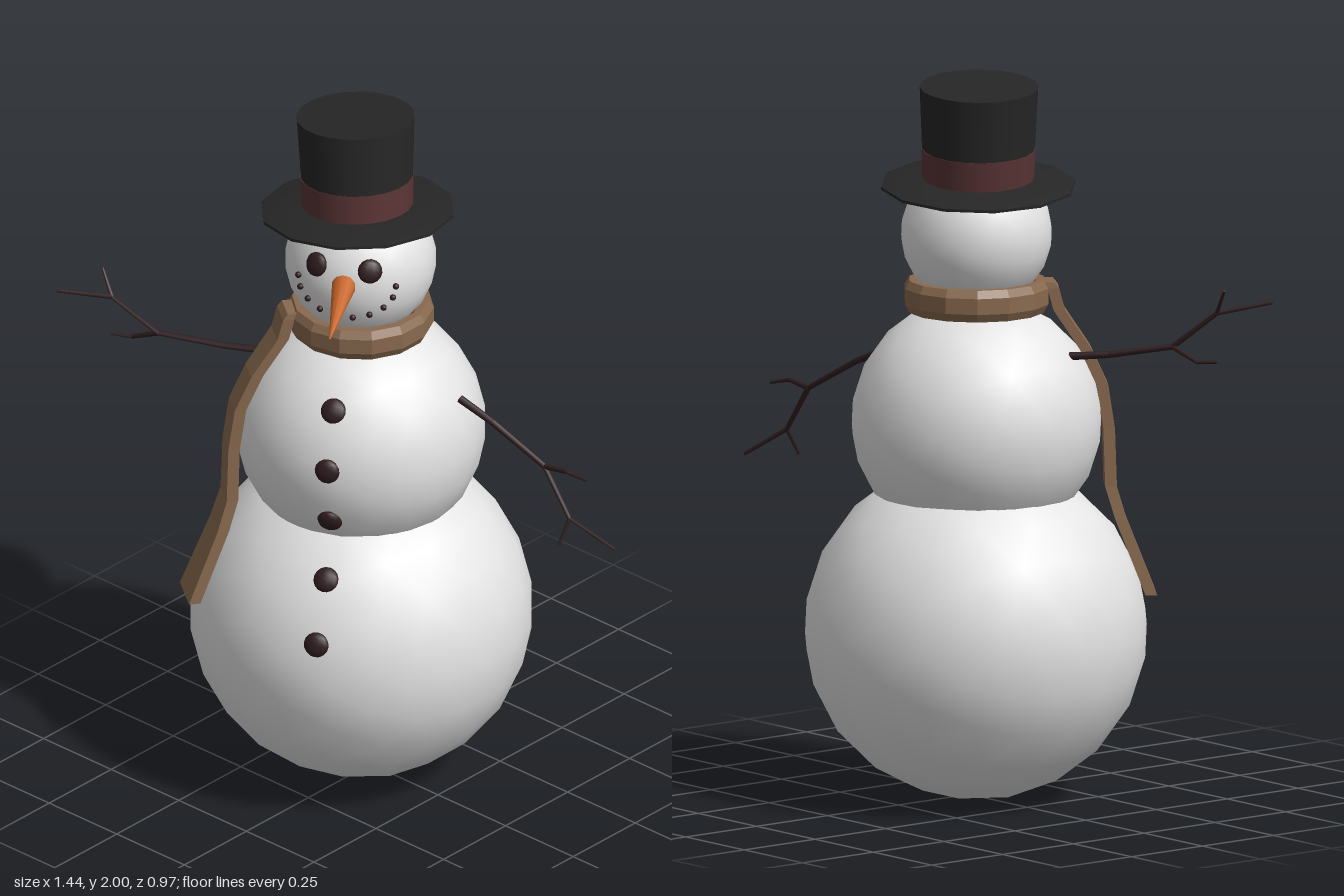
import * as THREE from 'three';
import { toCreasedNormals } from 'three/addons/utils/BufferGeometryUtils.js';

const V = (x, y, z) => new THREE.Vector3(x, y, z);
const UP = V(0, 1, 0), FRONT = V(0, 0, 1);
const CX = -0.05, CZ = -0.015; // body axis
const rad = THREE.MathUtils.degToRad;

function material(name, color, flatShading = false) {
  const m = new THREE.MeshStandardMaterial({ color, flatShading });
  m.name = name;
  return m;
}

export function createModel() {
  const snow = material('snow', 0xe4e4e4);
  const coal = material('coal', 0x2f1d1f);
  const wool = material('wool', 0x896a4f);
  const felt = material('felt', 0x262626);
  const ribbon = material('ribbon', 0x5a3435);
  const carrot = material('carrot', 0xc8672c);

  const root = new THREE.Group();
  root.name = 'snowman';

  function add(parent, name, geometry, mat) {
    const mesh = new THREE.Mesh(geometry, mat);
    mesh.name = name;
    parent.add(mesh);
    return mesh;
  }
  function group(name, parent = root) {
    const g = new THREE.Group();
    g.name = name;
    parent.add(g);
    return g;
  }

  // Three snowballs
  const balls = {
    lowerBody: { c: V(CX, 0.474, -0.017), r: 0.47 },
    upperBody: { c: V(CX, 1.05, CZ), r: 0.343 },
    head: { c: V(CX, 1.57, CZ), r: 0.207 },
  };
  for (const [name, { c, r }] of Object.entries(balls)) {
    add(root, name, new THREE.IcosahedronGeometry(r, 3), snow).position.copy(c);
  }

  // Flattened lump of coal lying on a snowball
  function lump(parent, name, ball, point, r, depth) {
    const n = point.clone().sub(ball.c).normalize();
    const m = add(parent, name, new THREE.SphereGeometry(1, 10, 8), coal);
    m.scale.set(r, r, depth);
    m.position.copy(ball.c).addScaledVector(n, ball.r + 0.002);
    m.quaternion.setFromUnitVectors(FRONT, n);
  }
  const onHead = (yaw, y) => {
    const h = y - balls.head.c.y, rr = Math.sqrt(balls.head.r ** 2 - h * h);
    return V(CX + rr * Math.sin(rad(yaw)), y, CZ + rr * Math.cos(rad(yaw)));
  };

  // Face
  const face = group('face');
  lump(face, 'rightEye', balls.head, onHead(5, 1.638), 0.034, 0.016);
  lump(face, 'leftEye', balls.head, onHead(50, 1.638), 0.034, 0.016);
  for (let i = 0; i < 10; i++) {
    const a = (Math.PI * i) / 9;
    lump(face, 'mouthDot', balls.head, onHead(29 - 41 * Math.cos(a), 1.585 - 0.094 * Math.sin(a)), 0.009, 0.009);
  }
  rod(face, 'nose', V(0.045, 1.592, 0.155), V(0.173, 1.555, 0.353), 0.034, 0.002, carrot, 10);

  // Buttons
  const buttons = group('buttons');
  lump(buttons, 'button', balls.upperBody, V(0.082, 1.247, 0.24), 0.035, 0.018);
  lump(buttons, 'button', balls.upperBody, V(0.108, 1.088, 0.294), 0.035, 0.018);
  lump(buttons, 'button', balls.upperBody, V(0.098, 0.918, 0.272), 0.035, 0.018);
  lump(buttons, 'button', balls.lowerBody, V(0.124, 0.765, 0.315), 0.035, 0.018);
  lump(buttons, 'button', balls.lowerBody, V(0.156, 0.603, 0.389), 0.035, 0.018);

  // Tapered rod between two points
  function rod(parent, name, a, b, ra, rb, mat, sides = 6) {
    const d = b.clone().sub(a);
    const m = add(parent, name, new THREE.CylinderGeometry(rb, ra, d.length(), sides), mat);
    m.position.copy(a).addScaledVector(d, 0.5);
    m.quaternion.setFromUnitVectors(UP, d.normalize());
  }
  function branch(parent, name, points, r0, r1) {
    const n = points.length - 1;
    const r = (i) => r0 + ((r1 - r0) * i) / n;
    for (let i = 0; i < n; i++) rod(parent, name, points[i], points[i + 1], r(i), r(i + 1), coal);
  }

  // Stick arms with twigs
  const rightArm = group('rightArm');
  const rElbow = V(-0.515, 1.284, 0.295), rFork = V(-0.622, 1.384, 0.363);
  branch(rightArm, 'armStick', [V(-0.285, 1.245, 0.12), V(-0.37, 1.254, 0.185), rElbow, rFork, V(-0.72, 1.414, 0.478)], 0.011, 0.005);
  branch(rightArm, 'twig', [rElbow, V(-0.594, 1.25, 0.315), V(-0.643, 1.253, 0.345)], 0.008, 0.004);
  branch(rightArm, 'twig', [rFork, V(-0.667, 1.453, 0.352)], 0.006, 0.004);

  const leftArm = group('leftArm');
  const lElbow = V(0.51, 1.075, -0.147), lFork = V(0.602, 0.948, -0.147);
  branch(leftArm, 'armStick', [V(0.25, 1.212, -0.088), V(0.35, 1.168, -0.11), lElbow, lFork, V(0.713, 0.87, -0.206)], 0.011, 0.005);
  branch(leftArm, 'twig', [lElbow, V(0.59, 1.087, -0.15), V(0.645, 1.073, -0.17)], 0.008, 0.004);
  branch(leftArm, 'twig', [lFork, V(0.595, 0.875, -0.11)], 0.006, 0.004);

  // Scarf collar
  const scarf = group('scarf');
  const collarProfile = [[0.14, 1.365], [0.187, 1.355], [0.2, 1.378], [0.2, 1.422], [0.187, 1.443], [0.165, 1.443], [0.15, 1.42], [0.14, 1.365]]
    .map(([x, y]) => new THREE.Vector2(x, y));
  const collar = add(scarf, 'scarfCollar', toCreasedNormals(new THREE.LatheGeometry(collarProfile, 14), 0.3), wool);
  collar.position.set(CX, 0, CZ);

  // Hanging scarf end: rows of [height, distance from body axis, half width]
  const yaw = rad(-36);
  const rows = [[1.437, 0.195, 0.04], [1.42, 0.208, 0.042], [1.36, 0.224, 0.042], [1.25, 0.296, 0.04],
    [1.15, 0.342, 0.04], [1.03, 0.36, 0.04], [0.87, 0.365, 0.043], [0.78, 0.392, 0.05], [0.57, 0.474, 0.063]];
  const pos = [], idx = [];
  rows.forEach(([y, r, h], k) => {
    for (const [s, d] of [[-h, -0.016], [h, -0.016], [h, 0.016], [-h, 0.016]]) {
      const q = r + d;
      pos.push(CX + q * Math.sin(yaw) + s * Math.cos(yaw), y, CZ + q * Math.cos(yaw) - s * Math.sin(yaw));
    }
    if (k === 0) return;
    for (let i = 0; i < 4; i++) {
      const j = (i + 1) % 4, a = (k - 1) * 4, b = k * 4;
      idx.push(a + i, a + j, b + j, a + i, b + j, b + i);
    }
  });
  const e = (rows.length - 1) * 4;
  idx.push(0, 3, 2, 0, 2, 1, e, e + 1, e + 2, e, e + 2, e + 3);
  const tail = new THREE.BufferGeometry();
  tail.setAttribute('position', new THREE.Float32BufferAttribute(pos, 3));
  tail.setIndex(idx);
  const flatTail = tail.toNonIndexed();
  flatTail.computeVertexNormals();
  add(scarf, 'scarfTail', flatTail, wool);

  // Tilted top hat
  const hat = group('hat');
  hat.position.set(-0.072, 1.708, -0.027);
  hat.quaternion.setFromUnitVectors(UP, V(-0.085, 1, -0.06).normalize());
  const brimProfile = [[0.12, 0.008], [0.2, 0.006], [0.268, -0.004], [0.268, 0.004], [0.2, 0.02], [0.12, 0.024]]
    .map(([x, y]) => new THREE.Vector2(x, y));
  add(hat, 'hatBrim', toCreasedNormals(new THREE.LatheGeometry(brimProfile, 12), 0.6), felt);
  add(hat, 'hatBand', new THREE.CylinderGeometry(0.156, 0.153, 0.095, 20), ribbon).position.y = 0.0575;
  add(hat, 'hatCrown', new THREE.CylinderGeometry(0.162, 0.154, 0.178, 20), felt).position.y = 0.19;

  return root;
}
